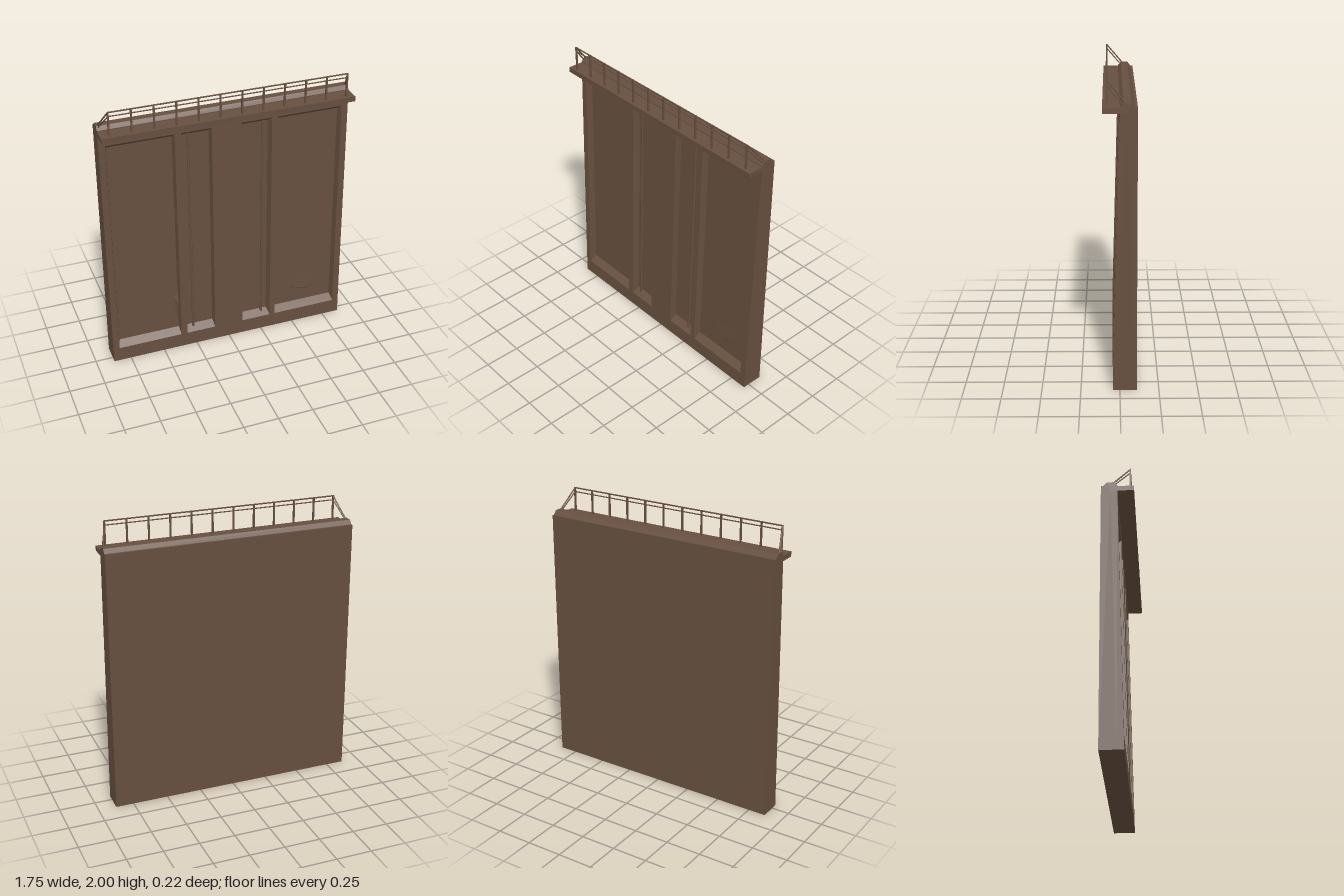
import * as THREE from 'three';

const HALF = 0.875, LEDGE_Y = 1.795, DEPTH = 0.045;
// front face leans back as it rises
const frontZ = (y) => 0.045 - 0.025 * y;

// recessed panels: outer opening and smaller floor, as [x0, x1, y0, y1]
const PANELS = [
  { out: [-0.83, -0.365, 0.105, 1.72], inn: [-0.818, -0.372, 0.147, 1.685] },
  { out: [-0.32, -0.108, 0.105, 1.72], inn: [-0.306, -0.115, 0.147, 1.685] },
  { out: [0.105, 0.32, 0.105, 1.72], inn: [0.112, 0.306, 0.147, 1.685] },
  { out: [0.36, 0.83, 0.105, 1.72], inn: [0.372, 0.818, 0.147, 1.685] },
];

function rectPath(Type, [x0, x1, y0, y1]) {
  return new Type([[x0, y0], [x1, y0], [x1, y1], [x0, y1]].map(([x, y]) => new THREE.Vector2(x, y)));
}

// front layer with holes, whose rear corners shrink to the panel floors
function frontLayerGeometry() {
  const shape = rectPath(THREE.Shape, [-HALF, HALF, 0, LEDGE_Y]);
  PANELS.forEach((p) => shape.holes.push(rectPath(THREE.Path, p.out)));
  const geo = new THREE.ExtrudeGeometry(shape, { depth: DEPTH, bevelEnabled: false });
  const pos = geo.attributes.position;
  const near = (a, b) => Math.abs(a - b) < 1e-4;
  for (let i = 0; i < pos.count; i++) {
    let x = pos.getX(i), y = pos.getY(i);
    const z = pos.getZ(i);
    if (z < DEPTH / 2) {
      for (const { out, inn } of PANELS) {
        const ix = near(x, out[0]) ? 0 : near(x, out[1]) ? 1 : -1;
        const iy = near(y, out[2]) ? 2 : near(y, out[3]) ? 3 : -1;
        if (ix >= 0 && iy >= 0) {
          x = inn[ix];
          y = inn[iy];
          break;
        }
      }
    }
    pos.setXYZ(i, x, y, frontZ(y) - DEPTH + z);
  }
  geo.computeVertexNormals();
  return geo;
}

// solid core with the bevelled parapet, from a side profile of [z, y]
function coreGeometry() {
  const profile = [
    [-0.108, 0], [frontZ(0) - DEPTH, 0], [frontZ(LEDGE_Y) - DEPTH, LEDGE_Y], [0, LEDGE_Y],
    [0, 1.835], [-0.02, 1.86], [-0.07, 1.86], [-0.092, 1.832], [-0.108, 1.832],
  ];
  const shape = new THREE.Shape(profile.map(([z, y]) => new THREE.Vector2(z, y)));
  const geo = new THREE.ExtrudeGeometry(shape, { depth: HALF * 2, bevelEnabled: false });
  return geo.rotateY(-Math.PI / 2).translate(HALF, 0, 0);
}

export function createModel() {
  const group = new THREE.Group();
  const brown = new THREE.MeshStandardMaterial({ color: 0x664f3f });
  brown.name = 'weathered brown';

  const add = (name, geo) => {
    const mesh = new THREE.Mesh(geo, brown);
    mesh.name = name;
    group.add(mesh);
    return mesh;
  };
  // thin round bar between two points
  const rod = (name, a, b, r, sides = 6) => {
    const from = new THREE.Vector3(...a), to = new THREE.Vector3(...b);
    const dir = to.clone().sub(from);
    const mesh = add(name, new THREE.CylinderGeometry(r, r, dir.length(), sides));
    mesh.position.copy(from).add(to).multiplyScalar(0.5);
    mesh.quaternion.setFromUnitVectors(new THREE.Vector3(0, 1, 0), dir.normalize());
  };
  // shallow faceted bump on a panel floor: ring of [x, y] and a raised peak
  const bump = (name, ring, peak, height) => {
    const at = ([x, y], h) => [x, y, frontZ(y) - DEPTH + h];
    const pts = [];
    ring.forEach((p, i) => {
      pts.push(...at(p, 0.0005), ...at(ring[(i + 1) % ring.length], 0.0005), ...at(peak, height));
    });
    const geo = new THREE.BufferGeometry();
    geo.setAttribute('position', new THREE.Float32BufferAttribute(pts, 3));
    geo.computeVertexNormals();
    add(name, geo);
  };

  // wall
  add('wallCore', coreGeometry());
  add('panelledFront', frontLayerGeometry());

  // walkway ledge
  add('walkway', new THREE.BoxGeometry(HALF * 2, 0.035, 0.108).translate(0, 1.8125, 0.054));

  // pipes standing in the narrow panels
  for (const s of [-1, 1]) {
    const foot = [s * 0.264, 0.125, frontZ(0.125) - DEPTH + 0.01];
    const head = [s * 0.264, 1.695, frontZ(1.695) - DEPTH + 0.01];
    rod(s < 0 ? 'rightPipe' : 'leftPipe', foot, head, 0.009, 8);
  }

  // worn patches in the wide panels
  bump('leftPatch', [[0.44, 0.3], [0.62, 0.235], [0.72, 0.27], [0.73, 0.4], [0.52, 0.36]], [0.6, 0.25], 0.006);
  bump('rightPatch', [[-0.372, 0.15], [-0.372, 0.47], [-0.4, 0.4]], [-0.374, 0.38], 0.025);

  // railing posts
  const railX = 0.818, railZ = 0.082, count = 12;
  for (let i = 0; i < count; i++) {
    const x = -railX + (2 * railX * i) / (count - 1);
    add('railPost', new THREE.BoxGeometry(0.011, 0.17, 0.011).translate(x, 1.913, railZ));
  }
  // long rails and the bars sloping back to the parapet
  [[1.995, 0.005, -0.035], [1.967, 0.004, -0.012]].forEach(([y, r, endZ]) => {
    rod('longRail', [-railX, y, railZ], [railX, y, railZ], r);
    for (const s of [-1, 1]) {
      rod('endRail', [s * railX, y, railZ], [s * 0.863, 1.853, endZ], r);
    }
  });
  return group;
}
